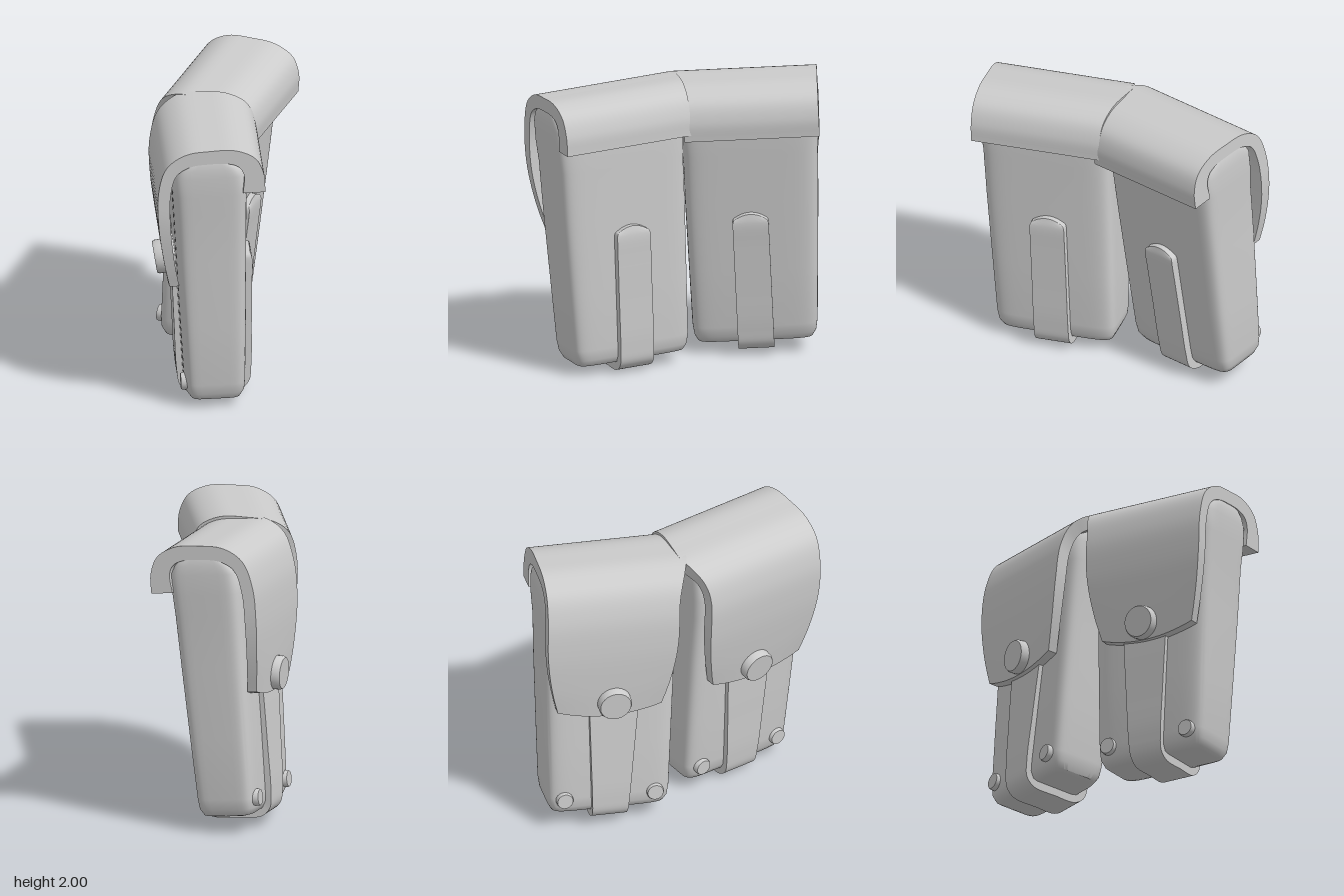
import * as THREE from 'three';
import { toCreasedNormals } from 'three/addons/utils/BufferGeometryUtils.js';

const material = new THREE.MeshStandardMaterial({ color: 0xcccccc });
const clamp = THREE.MathUtils.clamp;

function addMesh(group, name, geometry) {
  const mesh = new THREE.Mesh(geometry, material);
  mesh.name = name;
  group.add(mesh);
  return mesh;
}

// Closed skin over a list of equal-length rings, capped at both ends
function loft(rings, crease = 0.6) {
  const n = rings[0].length, last = (rings.length - 1) * n, index = [];
  for (let i = 0; i < rings.length - 1; i++) {
    for (let j = 0; j < n; j++) {
      const k = (j + 1) % n;
      const a = i * n + j, b = i * n + k, c = b + n, d = a + n;
      index.push(a, b, d, b, c, d);
    }
  }
  for (let j = 0; j < n / 2 - 1; j++) {
    const a = j, b = j + 1, c = n - 2 - j, d = n - 1 - j;
    index.push(a, c, b, a, d, c);
    index.push(last + a, last + b, last + c, last + a, last + c, last + d);
  }
  const geometry = new THREE.BufferGeometry();
  geometry.setAttribute('position', new THREE.Float32BufferAttribute(rings.flat(2), 3));
  geometry.setIndex(index);
  return toCreasedNormals(geometry, crease);
}

// Thick leather strip: outer and inner [z, y] profiles swept across x.
// edges(z, y) gives [left x, right x, corner lift]
function strip(outer, inner, edges, rows) {
  const curve = (pts) => new THREE.CatmullRomCurve3(pts.map(([z, y]) => new THREE.Vector3(0, y, z)));
  const oc = curve(outer), ic = curve(inner), rings = [], across = 14;
  for (let i = 0; i <= rows; i++) {
    const o = oc.getPoint(i / rows), p = ic.getPoint(i / rows);
    const [x0, x1, lift] = edges(o.z, o.y);
    const line = (q) => Array.from({ length: across + 1 }, (_, j) => {
      const s = j / across;
      return [x0 + (x1 - x0) * s, q.y + lift * (2 * s - 1) ** 2, q.z];
    });
    rings.push([...line(o), ...line(p).reverse()]);
  }
  return loft(rings);
}

// Tapered pouch body with rounded corners: [y, half width, half depth];
// the bottom leans a little towards the neighbouring pouch
function bodyGeometry(innerSide) {
  const sections = [
    [-1.745, 0.36, 0.14], [-1.735, 0.39, 0.175], [-1.69, 0.412, 0.2], [-1.62, 0.422, 0.207],
    [-1.2, 0.435, 0.222], [-0.7, 0.45, 0.237], [-0.35, 0.456, 0.247], [-0.2, 0.468, 0.253],
    [-0.06, 0.47, 0.25], [0.0, 0.468, 0.215], [0.04, 0.46, 0.17], [0.06, 0.455, 0.1],
  ];
  const soften = (v) => Math.sign(v) * Math.abs(v) ** 0.27;
  return loft(sections.map(([y, w, d]) => Array.from({ length: 56 }, (_, j) => {
    const a = ((j + 0.5) / 56) * Math.PI * 2;
    return [w * soften(Math.sin(a)) - 0.018 * y * innerSide, y, d * soften(Math.cos(a)) - 0.008];
  })), 0.8);
}

// Flap from the front lip over the top and down the back;
// innerSide is the side where it meets its neighbour
function flapGeometry(innerSide) {
  const outer = [[0.36, -0.18], [0.355, -0.05], [0.30, 0.07], [0.17, 0.135], [0, 0.14], [-0.17, 0.12],
    [-0.30, 0.03], [-0.36, -0.15], [-0.365, -0.40], [-0.335, -0.70], [-0.30, -0.945]];
  const inner = [[0.21, -0.18], [0.22, -0.05], [0.19, 0.01], [0.12, 0.04], [0, 0.045], [-0.14, 0.03],
    [-0.235, -0.03], [-0.28, -0.18], [-0.285, -0.42], [-0.265, -0.70], [-0.235, -0.945]];
  return strip(outer, inner, (z, y) => {
    const back = z < 0 ? clamp((-0.3 - y) / 0.64, 0, 1) : 0;
    const taper = 0.095 * back ** 1.7;
    // fills the wedge between the two flaps, fading out towards the back
    const join = 0.21 * Math.max(0, 0.36 - z) * clamp((z + 0.36) / 0.25, 0, 1) * clamp((y + 0.3) / 0.3, 0, 1);
    const outerX = 0.465 - taper, innerX = 0.445 - taper + join;
    const lift = 0.06 * back ** 2;
    return innerSide > 0 ? [-outerX, innerX, lift] : [-innerX, outerX, lift];
  }, 60);
}

// Belt loop strap: down the back, under the bottom, up the front
function strapGeometry() {
  const outer = [[-0.268, -0.75], [-0.268, -1.0], [-0.263, -1.3], [-0.255, -1.62], [-0.235, -1.74], [-0.17, -1.795],
    [0, -1.8], [0.16, -1.795], [0.23, -1.74], [0.25, -1.62], [0.262, -1.3], [0.273, -1.0], [0.278, -0.83], [0.265, -0.77]];
  const inner = [[-0.21, -0.75], [-0.21, -1.0], [-0.2, -1.3], [-0.19, -1.62], [-0.18, -1.69], [-0.13, -1.73],
    [0, -1.735], [0.13, -1.73], [0.17, -1.69], [0.18, -1.62], [0.19, -1.3], [0.2, -1.0], [0.21, -0.83], [0.21, -0.77]];
  return strip(outer, inner, (z, y) => {
    if (z < 0) return [-1, 1, 0].map((s) => s * (0.122 + 0.05 * clamp((y + 1.75) / 0.9, 0, 1)));
    const end = clamp((y + 0.85) / 0.08, 0, 1) ** 2;
    const half = 0.122 - 0.02 * end;
    return [-half, half, -0.035 * end];
  }, 78);
}

// Round stud with a narrow bevelled rim, pointing backwards
function studGeometry(radius, depth) {
  const profile = [[0, 0], [radius, 0], [radius, depth * 0.8], [radius * 0.92, depth], [0, depth]]
    .map(([r, y]) => new THREE.Vector2(r, y));
  return toCreasedNormals(new THREE.LatheGeometry(profile, 28).rotateX(-Math.PI / 2), 0.6);
}

function pouch(name, innerSide) {
  const group = new THREE.Group();
  group.name = name;
  addMesh(group, 'body', bodyGeometry(innerSide));
  addMesh(group, 'flap', flapGeometry(innerSide));
  addMesh(group, 'strap', strapGeometry()).position.x = 0.028 * innerSide;
  const button = addMesh(group, 'flapButton', studGeometry(0.115, 0.08));
  button.position.set(0.015 * innerSide, -0.825, -0.295);
  button.rotation.x = -0.13;
  for (const [label, x] of [['innerRivet', 0.34], ['outerRivet', -0.285]]) {
    const rivet = addMesh(group, label, studGeometry(0.058, 0.05));
    rivet.position.set(x * innerSide, -1.625, -0.19);
  }
  group.rotation.order = 'YXZ';
  return group;
}

export function createModel() {
  const model = new THREE.Group();
  model.name = 'doublePouch';

  const right = pouch('rightPouch', 1);
  right.position.set(-0.38, 1.8, 0.31);
  right.rotation.set(-0.03, THREE.MathUtils.degToRad(53), 0.035);

  const left = pouch('leftPouch', -1);
  left.position.set(0.35, 1.83, -0.325);
  left.rotation.set(0.095, THREE.MathUtils.degToRad(30), 0.045);

  model.add(right, left);
  return model;
}
